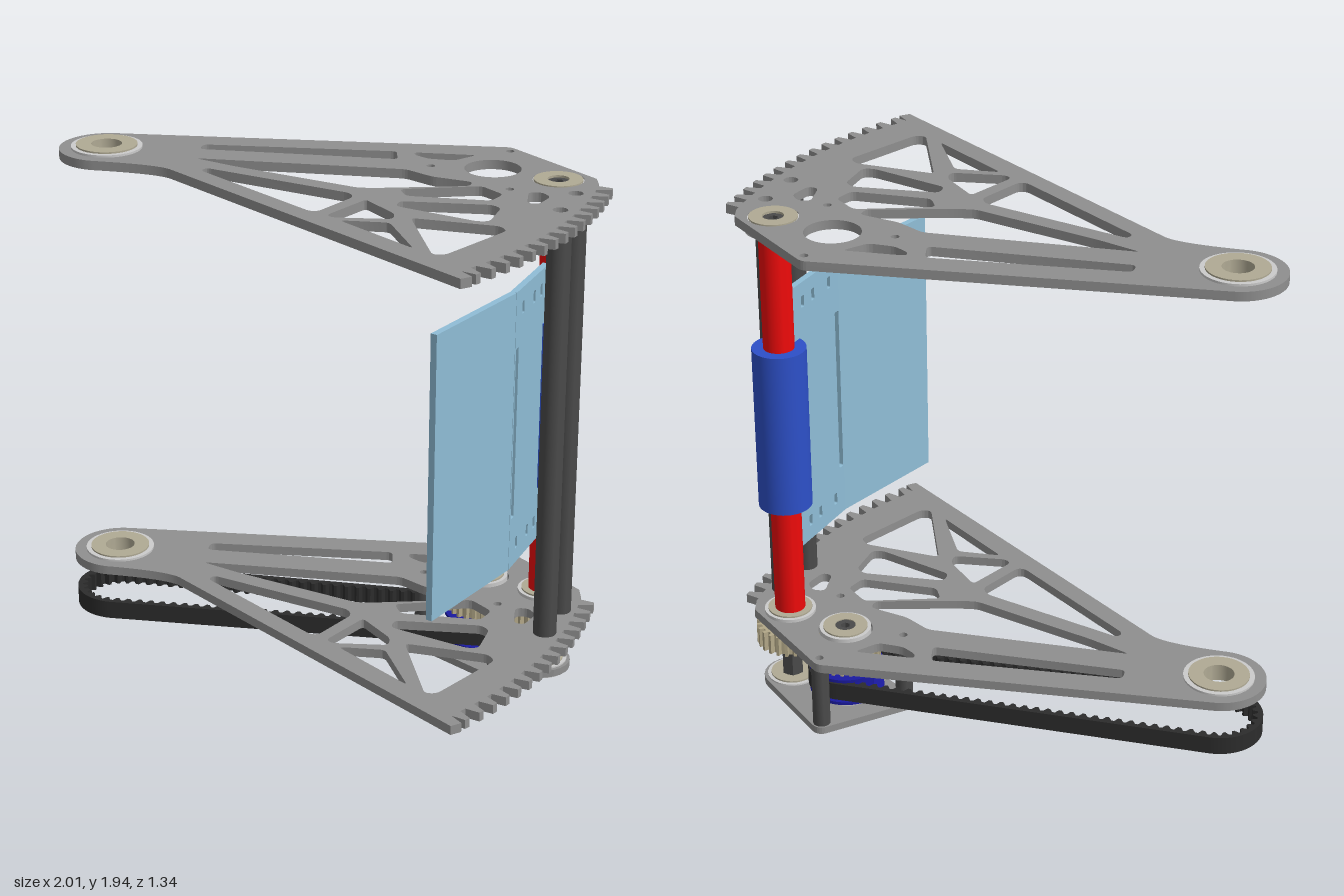
import * as THREE from 'three';
import { toCreasedNormals } from 'three/addons/utils/BufferGeometryUtils.js';
import { ConvexGeometry } from 'three/addons/geometries/ConvexGeometry.js';

const paint = (color) => new THREE.MeshStandardMaterial({ color });
const STEEL = paint(0xcccccc), PLATE = paint(0x8f8f8f), DARK = paint(0x4a4a4a), BELT = paint(0x2c2c2c);
const BEIGE = paint(0xb0aa94), TAN = paint(0xb3a888), RED = paint(0xee0a0a), BLUE = paint(0x2d50c8);
const NAVY = paint(0x1a1aa0), SHEET = paint(0x8fbdd6);
const rad = THREE.MathUtils.degToRad;

// Axes seen from above: pivot hub, pulley shaft, roller shaft
const HUB = [-0.826, 0.492], PULLEY = [0.195, -0.449], ROLLER = [0.425, -0.55];
const POSTS = [[0.575, -0.495], [0.675, -0.335]];
const STANDOFFS = [[0.077, -0.63], [0.04, -0.295], [0.405, -0.345]];

function add(parent, name, geometry, material, x = 0, y = 0, z = 0) {
  const mesh = new THREE.Mesh(geometry, material);
  mesh.name = name;
  mesh.position.set(x, y, z);
  parent.add(mesh);
  return mesh;
}

// Shape drawn in (x, z), laid flat and centred on y
function slab(shape, height) {
  const g = new THREE.ExtrudeGeometry(shape, { depth: height, bevelEnabled: false, curveSegments: 28 });
  return toCreasedNormals(g.rotateX(Math.PI / 2).translate(0, height / 2, 0), 0.5);
}

// Upright ring or tube between two heights
function ring(parent, name, material, [x, z], rIn, rOut, y0, y1, sides = 40) {
  const profile = [[rIn, y0], [rOut, y0], [rOut, y1], [rIn, y1], [rIn, y0]].map((p) => new THREE.Vector2(...p));
  const g = toCreasedNormals(new THREE.LatheGeometry(profile, sides), 0.6);
  return add(parent, name, g, material, x, 0, z);
}

// Polygon with rounded corners
function rounded(points, r) {
  const path = new THREE.Path(), n = points.length;
  const v = points.map((p) => new THREE.Vector2(...p));
  v.forEach((p, i) => {
    const toward = (q) => p.clone().lerp(q, Math.min(0.45, r / p.distanceTo(q)));
    const a = toward(v[(i + n - 1) % n]), b = toward(v[(i + 1) % n]);
    if (i) path.lineTo(a.x, a.y); else path.moveTo(a.x, a.y);
    path.quadraticCurveTo(p.x, p.y, b.x, b.y);
  });
  path.closePath();
  return path;
}

function circle([x, z], r) {
  const path = new THREE.Path();
  path.absarc(x, z, r, 0, Math.PI * 2, true);
  return path;
}

// Lightening windows of the side plates
const WINDOWS = [
  [[-.115, -.348], [.042, -.503], [.042, -.4], [-.03, -.34], [-.095, -.33]],
  [[-.644, .198], [-.163, -.305], [-.09, -.25], [-.607, .24]],
  [[-.527, .315], [.02, -.2], [.136, -.22], [.27, -.294], [.297, -.257], [.126, .005], [.083, .059], [-.366, .257]],
  [[-.41, .348], [-.398, .38], [.18, .342], [.2, .32], [.152, .134], [.11, .118]],
  [[.323, -.289], [.436, -.289], [.463, -.214], [.249, -.016], [.18, -.043]],
  [[.281, .037], [.5, -.187], [.543, -.187], [.623, -.07], [.6, -.037], [.313, .08]],
  [[.441, .118], [.682, -.064], [.73, -.053], [.789, .257], [.762, .289]],
  [[.47, -.374], [.5, -.41], [.553, -.4], [.586, -.316], [.553, -.294]],
  [[.2, .118], [.377, .134], [.414, .171], [.281, .321], [.249, .321]],
  [[.318, .321], [.436, .203], [.68, .3]],
];

// Sector plate: round hub end, straight flanks and a toothed arc about the hub
function sectorPlate() {
  const s = new THREE.Shape(), [cx, cz] = HUB;
  s.absarc(cx, cz, 0.17, rad(50), rad(223.8), false);
  s.lineTo(0.03, -0.648);
  s.quadraticCurveTo(0.045, -0.663, 0.065, -0.663);
  s.lineTo(0.5, -0.66);
  const teeth = 15, pitch = 33.5 / teeth;
  for (let i = 0; i < teeth; i++) {
    for (const [f, r] of [[0, 1.772], [0.25, 1.772], [0.42, 1.825], [0.72, 1.825], [0.9, 1.772]]) {
      const a = rad(-39 + (i + f) * pitch);
      s.lineTo(cx + r * Math.cos(a), cz + r * Math.sin(a));
    }
  }
  s.lineTo(0.996, 0.32);
  s.lineTo(0.99, 0.362);
  s.lineTo(-0.47, 0.458);
  s.quadraticCurveTo(-0.54, 0.462, cx + 0.17 * Math.cos(rad(50)), cz + 0.17 * Math.sin(rad(50)));
  s.holes = WINDOWS.map((w) => rounded(w, 0.022));
  s.holes.push(circle(HUB, 0.1), circle(PULLEY, 0.1), circle(ROLLER, 0.09));
  POSTS.forEach((p) => s.holes.push(circle(p, 0.026)));
  STANDOFFS.forEach((p) => s.holes.push(circle(p, 0.015)));
  return slab(s, 0.034);
}

// Flanged bearing with a beige face
function bearing(parent, centre, y0, y1, rOut = 0.1, rIn = 0.038) {
  const g = new THREE.Group();
  g.name = 'bearing';
  ring(g, 'bearingRim', STEEL, centre, rOut * 0.85, rOut, y0 + 0.006, y1 - 0.006);
  ring(g, 'bearingFace', BEIGE, centre, rIn, rOut * 0.86, y0, y1);
  parent.add(g);
}

function gear(teeth, r, height) {
  const points = [];
  for (let i = 0; i < teeth; i++) {
    for (const [f, k] of [[0, 0.86], [0.3, 0.86], [0.42, 1], [0.75, 1], [0.88, 0.86]]) {
      const a = ((i + f) / teeth) * Math.PI * 2;
      points.push(new THREE.Vector2(r * k * Math.cos(a), r * k * Math.sin(a)));
    }
  }
  return slab(new THREE.Shape(points), height);
}

// Toothed belt around two circles, teeth on the inside
function belt(a, ra, b, rb, height, teeth) {
  const dir = Math.atan2(b[1] - a[1], b[0] - a[0]);
  const spread = Math.acos((ra - rb) / Math.hypot(b[0] - a[0], b[1] - a[1]));
  const loop = new THREE.Path();
  loop.absarc(...a, ra, dir + spread, dir - spread + Math.PI * 2, false);
  loop.absarc(...b, rb, dir - spread, dir + spread, false);
  loop.closePath();
  const outer = loop.getSpacedPoints(teeth * 4).slice(0, -1), n = outer.length;
  const inner = outer.map((p, i) => {
    const t = outer[(i + 1) % n].clone().sub(outer[(i + n - 1) % n]).normalize();
    const d = i % 4 < 2 ? 0.018 : 0.036;
    return new THREE.Vector2(p.x - t.y * d, p.y + t.x * d);
  });
  const s = new THREE.Shape(outer);
  s.holes.push(new THREE.Path(inner));
  return slab(s, height);
}

// Upright sheet: shape in (run, height), standing along the line a to b
function sheet(parent, name, shape, a, b) {
  const g = new THREE.ExtrudeGeometry(shape, { depth: 0.024, bevelEnabled: false }).translate(0, 0, -0.012);
  add(parent, name, g, SHEET, a[0], 0, a[1]).rotation.y = Math.atan2(a[1] - b[1], b[0] - a[0]);
}
const polygon = (pts) => new THREE.Shape(pts.map((p) => new THREE.Vector2(...p)));
const slot = (s, y, w, h) => rounded([[s - w / 2, y - h / 2], [s + w / 2, y - h / 2], [s + w / 2, y + h / 2], [s - w / 2, y + h / 2]], 0.006);

export function createModel() {
  const root = new THREE.Group();
  root.name = 'rollerArm';
  const g = new THREE.Group();
  g.name = 'tiltedAssembly';
  g.rotation.z = -0.0085; // the whole arm leans slightly
  g.position.x = -0.016;
  root.add(g);

  // Side plates with hub bearings
  const plate = sectorPlate();
  for (const [name, y] of [['upperPlate', 1.9], ['lowerPlate', 0.313]]) {
    add(g, name, plate, PLATE, 0, y, 0);
    bearing(g, HUB, y - 0.033, y + 0.031, 0.128, 0.055);
  }
  bearing(g, ROLLER, 1.862, 1.92);
  for (const c of [PULLEY, ROLLER]) {
    bearing(g, c, 0.292, 0.348, 0.095);
    bearing(g, c, 0.008, 0.064, 0.095);
  }

  // Cross posts, shafts and roller
  POSTS.forEach((p) => ring(g, 'crossPost', DARK, p, 0.02, 0.042, 0.326, 1.886, 28));
  ring(g, 'rollerShaft', DARK, ROLLER, 0.018, 0.042, 0.01, 1.912, 6);
  ring(g, 'pulleyShaft', DARK, PULLEY, 0.018, 0.042, 0.01, 0.345, 6);
  ring(g, 'rollerTube', RED, ROLLER, 0.04, 0.056, 0.345, 1.865);
  ring(g, 'rollerSleeve', BLUE, ROLLER, 0.05, 0.098, 0.787, 1.417);

  // Bent guide sheet: flat wing and slotted mounting flange
  const bend = [0.588, -0.215], lo = 0.582, hi = 1.625;
  const wing = [0.728, 0.248], tip = [0.4, -0.56];
  const wingRun = Math.hypot(wing[0] - bend[0], wing[1] - bend[1]);
  const run = Math.hypot(tip[0] - bend[0], tip[1] - bend[1]);
  sheet(g, 'guideWing', polygon([[0, lo], [wingRun, lo], [wingRun, hi], [0, hi]]), bend, wing);
  const flange = polygon([[0, lo], [run, lo], [run, 0.74], [run - 0.04, 0.74], [run - 0.04, 1.46], [run, 1.46], [run, hi], [0, hi]]);
  flange.holes.push(slot(0.022, 1.095, 0.026, 0.64));
  for (const y of [0.66, 1.55]) for (const s of [0.07, 0.18, 0.25]) flange.holes.push(slot(s, y, 0.02, 0.045));
  sheet(g, 'guideFlange', flange, bend, tip);

  // Gearbox cover and standoffs under the lower plate
  const corners = [];
  for (const [[x, z], r] of [...STANDOFFS.map((p) => [p, 0.038]), [ROLLER, 0.108], [PULLEY, 0.11]]) {
    for (let i = 0; i < 24; i++) {
      const a = (i / 24) * Math.PI * 2;
      for (const y of [0.024, 0.052]) corners.push(new THREE.Vector3(x + r * Math.cos(a), y, z + r * Math.sin(a)));
    }
  }
  add(g, 'gearboxCover', new ConvexGeometry(corners), PLATE);
  STANDOFFS.forEach((p) => ring(g, 'standoff', DARK, p, 0.012, 0.032, 0.05, 0.298, 24));

  // Gear pair
  const spur = gear(24, 0.128, 0.078);
  add(g, 'drivenGear', spur, TAN, PULLEY[0], 0.241, PULLEY[1]);
  add(g, 'rollerGear', spur, TAN, ROLLER[0], 0.241, ROLLER[1]);

  // Flanged pulley and belt
  ring(g, 'pulleyBody', NAVY, PULLEY, 0.03, 0.1, 0.09, 0.185);
  for (const y of [0.084, 0.18]) ring(g, 'pulleyFlange', NAVY, PULLEY, 0.03, 0.138, y, y + 0.012);
  add(g, 'driveBelt', belt(HUB, 0.165, PULLEY, 0.143, 0.068, 86), BELT, 0, 0.144, 0);
  return root;
}
